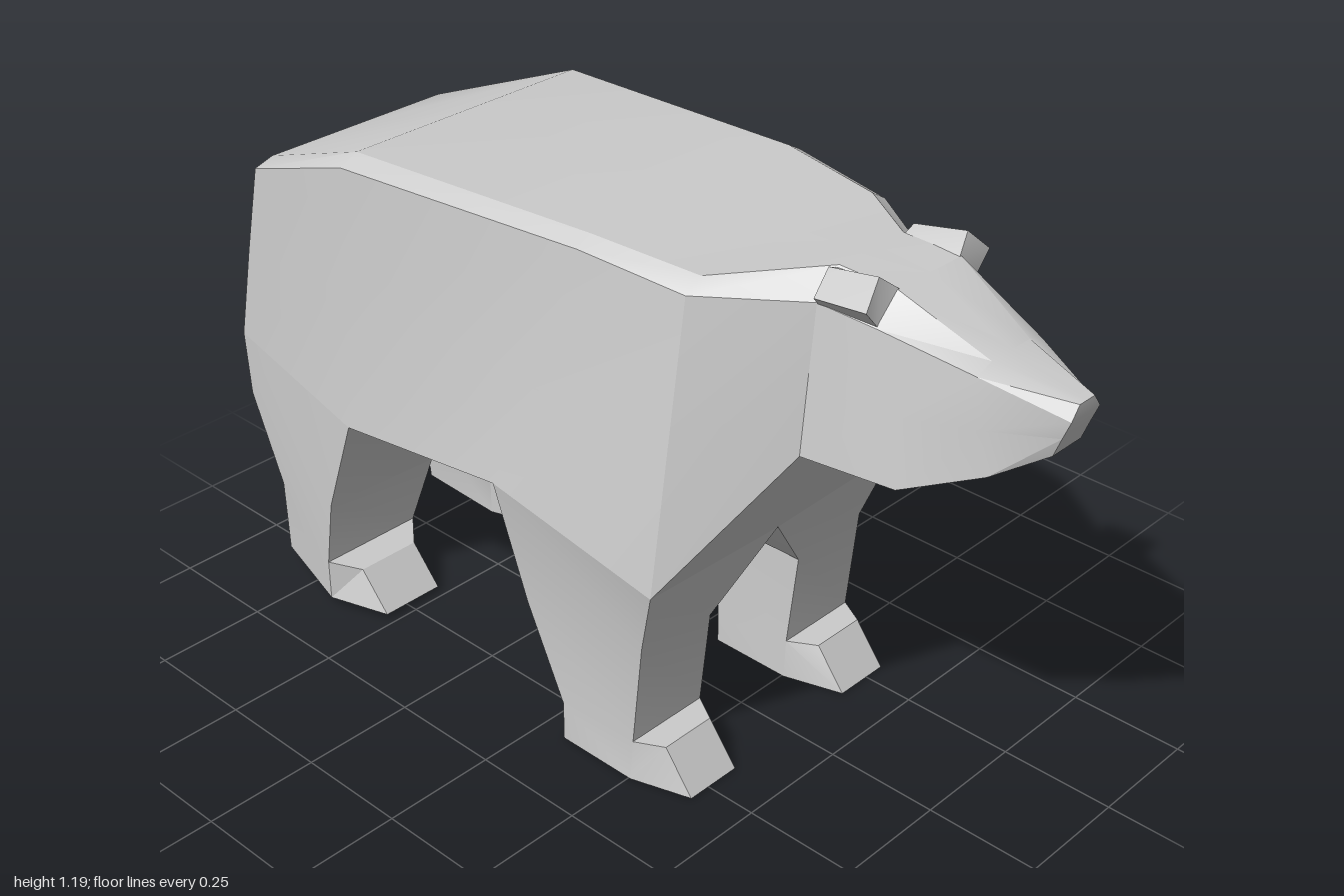
import * as THREE from 'three';
import { toCreasedNormals } from 'three/addons/utils/BufferGeometryUtils.js';

const material = new THREE.MeshStandardMaterial({ color: 0xcccccc });
const flip = ([x, y, z]) => [-x, y, z];
const mirrorQuads = quads => quads.map(q => q.map(flip).reverse());

// Turns four-cornered faces into a mesh, skipping collapsed triangles.
function meshFromQuads(name, quads) {
  const pos = [];
  const same = (p, q) => p.every((v, i) => Math.abs(v - q[i]) < 1e-6);
  for (const [a, b, c, d] of quads) {
    for (const t of [[a, b, c], [a, c, d]]) {
      if (same(t[0], t[1]) || same(t[1], t[2]) || same(t[0], t[2])) continue;
      pos.push(...t.flat());
    }
  }
  const geometry = new THREE.BufferGeometry();
  geometry.setAttribute('position', new THREE.Float32BufferAttribute(pos, 3));
  const mesh = new THREE.Mesh(toCreasedNormals(geometry, 0.42), material);
  mesh.name = name;
  return mesh;
}

// Side faces through a run of four-point rings.
function tube(rings) {
  const quads = [];
  for (let i = 0; i < rings.length - 1; i++) {
    for (let k = 0; k < 4; k++) {
      const n = (k + 1) % 4;
      quads.push([rings[i][k], rings[i + 1][k], rings[i + 1][n], rings[i][n]]);
    }
  }
  return quads;
}

// Half cross-sections from rump to nose: back edge, shoulder, flank, lower rim, belly centre.
const sections = [
  [[0.235, 0.975, -0.9], [0.275, 0.955, -0.91], [0.28, 0.75, -0.955], [0.285, 0.53, -1], [0, 0.5, -1]],
  [[0.3, 1.117, -0.53], [0.335, 1.09, -0.54], [0.352, 0.82, -0.535], [0.37, 0.51, -0.535], [0, 0.35, -0.535]],
  [[0.275, 1.14, 0.1], [0.31, 1.12, 0.1], [0.355, 0.82, 0.02], [0.395, 0.59, -0.06], [0, 0.42, -0.06]],
  [[0.24, 1.125, 0.34], [0.28, 1.1, 0.34], [0.325, 0.8, 0.34], [0.365, 0.49, 0.335], [0, 0.48, 0.335]],
  [[0.09, 1.158, 0.53], [0.148, 1.105, 0.53], [0.165, 0.95, 0.53], [0.18, 0.805, 0.53], [0, 0.805, 0.53]],
  [[0.09, 1.155, 0.66], [0.145, 1.1, 0.66], [0.158, 0.95, 0.7], [0.17, 0.82, 0.74], [0, 0.82, 0.74]],
  [[0.055, 1.07, 0.84], [0.095, 1.055, 0.84], [0.1, 0.96, 0.86], [0.1, 0.875, 0.88], [0, 0.875, 0.88]],
  [[0.022, 1.035, 1], [0.042, 1.008, 1], [0.042, 0.97, 0.985], [0.042, 0.93, 0.97], [0, 0.93, 0.97]],
];
const RIM = 3, BELLY = 4;
const centre = ([, y, z]) => [0, y, z];

function bodyQuads() {
  const rows = sections.map(s => [centre(s[0]), ...s]);
  const quads = [];
  for (let i = 0; i < rows.length - 1; i++) {
    for (let j = 0; j < 5; j++) {
      // The underside is open where the legs join.
      if (j === 4 && (i === 0 || i === 2)) continue;
      quads.push([rows[i][j], rows[i + 1][j], rows[i + 1][j + 1], rows[i][j + 1]]);
    }
  }
  // Rump and nose
  const rump = rows[0], nose = rows[rows.length - 1];
  for (let j = 1; j < 5; j++) {
    quads.push([rump[j], rump[j + 1], centre(rump[j + 1]), centre(rump[j])]);
    quads.push([centre(nose[j]), centre(nose[j + 1]), nose[j + 1], nose[j]]);
  }
  return [...quads, ...mirrorQuads(quads)];
}

// Leg rings run outer front, outer rear, inner rear, inner front; the toe grows from the last two.
function legQuads(front, rear, lower, tip) {
  const rings = [[front[RIM], rear[RIM], rear[BELLY], front[BELLY]], ...lower];
  const quads = tube(rings);
  const sole = rings[rings.length - 1], ankle = rings[rings.length - 2];
  quads.push([...sole].reverse());
  const [a, b, c, d] = [ankle[0], ankle[3], sole[3], sole[0]];
  const ta = [tip.outer, tip.y + tip.height, tip.topZ], tb = [tip.inner, tip.y + tip.height, tip.topZ];
  const tc = [tip.inner, tip.y, tip.z], td = [tip.outer, tip.y, tip.z];
  quads.push([b, tb, ta, a], [tb, tc, td, ta], [a, ta, td, d], [b, c, tc, tb], [d, td, tc, c]);
  return quads;
}

const frontLeg = legQuads(sections[3], sections[2], [
  [[0.332, 0.33, 0.28], [0.355, 0.31, -0.015], [0.13, 0.31, -0.015], [0.135, 0.31, 0.28]],
  [[0.332, 0.09, 0.255], [0.34, 0.09, 0.065], [0.13, 0.09, 0.065], [0.135, 0.09, 0.255]],
  [[0.34, 0, 0.255], [0.34, 0, 0.065], [0.13, 0, 0.065], [0.13, 0, 0.255]],
], { outer: 0.3, inner: 0.17, y: 0, height: 0.09, topZ: 0.315, z: 0.385 });

const hindLeg = legQuads(sections[1], sections[0], [
  [[0.362, 0.27, -0.63], [0.285, 0.38, -0.99], [0.05, 0.38, -0.99], [0.07, 0.26, -0.63]],
  [[0.367, 0.115, -0.65], [0.31, 0.2, -0.87], [0.11, 0.2, -0.87], [0.12, 0.115, -0.65]],
  [[0.367, 0.02, -0.65], [0.31, 0.03, -0.865], [0.12, 0.03, -0.865], [0.12, 0.02, -0.65]],
], { outer: 0.32, inner: 0.17, y: 0.015, height: 0.085, topZ: -0.59, z: -0.515 });

// Blocky ear, front to back
const earRings = [
  [[0.175, 1.14, 0.66], [0.125, 1.187, 0.645], [0.085, 1.155, 0.66], [0.14, 1.1, 0.66]],
  [[0.17, 1.125, 0.54], [0.12, 1.165, 0.53], [0.085, 1.15, 0.53], [0.14, 1.095, 0.53]],
];
const ear = [...tube(earRings), earRings[0], [...earRings[1]].reverse()];

export function createModel() {
  const group = new THREE.Group();
  group.name = 'bear';
  group.add(meshFromQuads('body', bodyQuads()));
  for (const [name, quads] of [['FrontLeg', frontLeg], ['HindLeg', hindLeg], ['Ear', ear]]) {
    group.add(meshFromQuads('left' + name, quads));
    group.add(meshFromQuads('right' + name, mirrorQuads(quads)));
  }
  return group;
}
